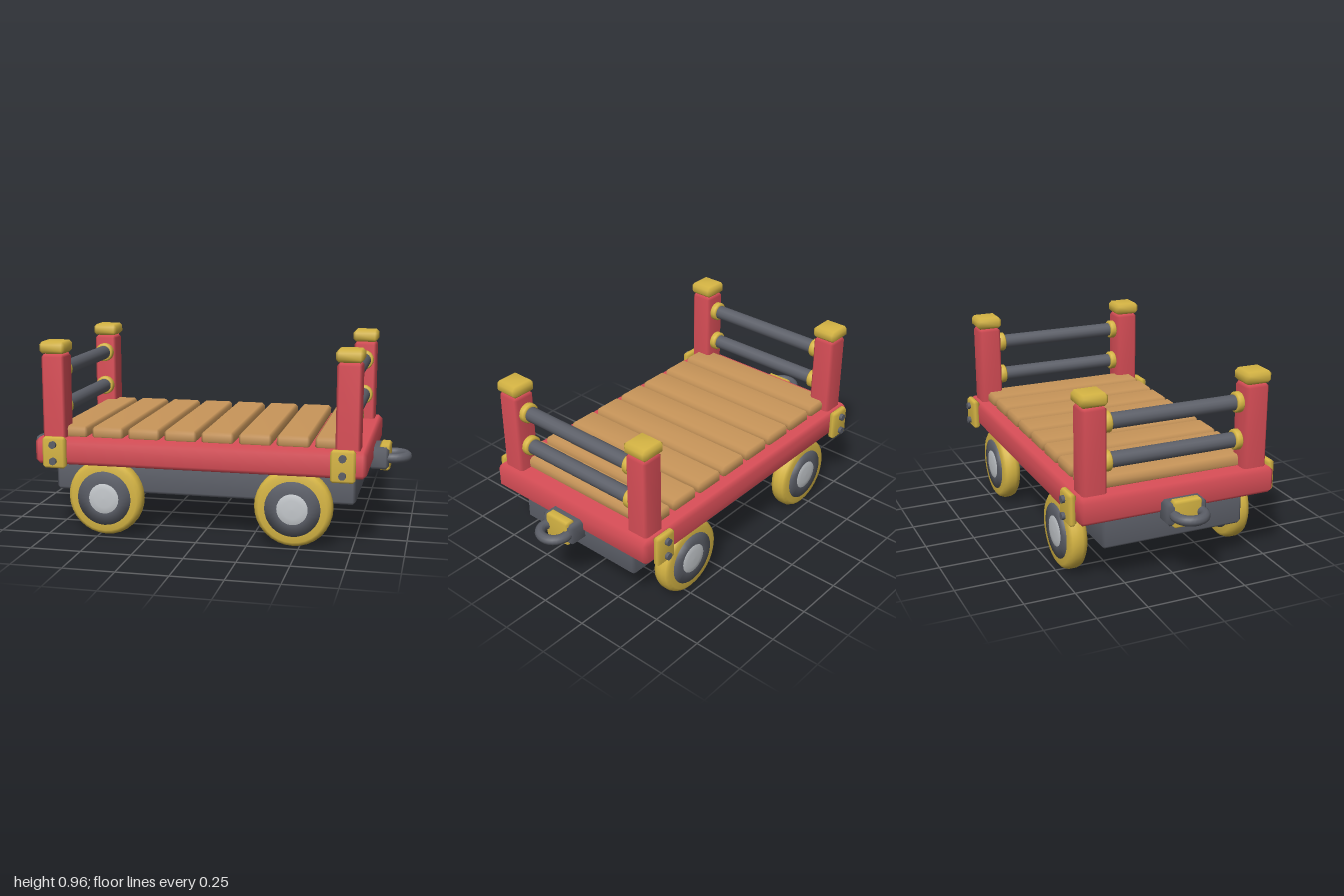
import * as THREE from 'three';
import { mergeVertices } from 'three/addons/utils/BufferGeometryUtils.js';
import { ConvexGeometry } from 'three/addons/geometries/ConvexGeometry.js';

const mat = (name, color) => {
  const m = new THREE.MeshStandardMaterial({ color });
  m.name = name;
  return m;
};

// Box with chamfered edges and soft, area-weighted normals
function chamferBox(w, h, d, c) {
  const pts = [];
  for (const sx of [-1, 1]) for (const sy of [-1, 1]) for (const sz of [-1, 1]) {
    const x = w / 2, y = h / 2, z = d / 2;
    pts.push(
      new THREE.Vector3(sx * x, sy * (y - c), sz * (z - c)),
      new THREE.Vector3(sx * (x - c), sy * y, sz * (z - c)),
      new THREE.Vector3(sx * (x - c), sy * (y - c), sz * z));
  }
  const g = new ConvexGeometry(pts);
  g.deleteAttribute('normal');
  const smooth = mergeVertices(g, 1e-5);
  smooth.computeVertexNormals();
  return smooth;
}

// Turned part whose axis runs along z; every profile segment keeps its own normals
function turned(profile, sides) {
  const pts = profile.map(([r, y]) => new THREE.Vector2(r, y));
  return new THREE.LatheGeometry(pts, sides).rotateX(Math.PI / 2);
}

export function createModel() {
  const model = new THREE.Group();
  model.name = 'flatWagon';
  const red = mat('red paint', 0xdb4f58);
  const brass = mat('brass', 0xd6b544);
  const iron = mat('dark iron', 0x5c5f68);
  const wood = mat('wood', 0xc9965a);
  const steel = mat('light steel', 0xc4c8cc);

  const add = (name, geo, material, x = 0, y = 0, z = 0, parent = model) => {
    const m = new THREE.Mesh(geo, material);
    m.name = name;
    m.position.set(x, y, z);
    parent.add(m);
    return m;
  };

  // Body
  add('deckFrame', chamferBox(1.63, 0.13, 1.0, 0.02), red, 0, 0.42, 0);
  add('chassis', chamferBox(1.51, 0.15, 0.73, 0.015), iron, 0, 0.27, 0);
  const plank = chamferBox(0.16, 0.06, 0.87, 0.013);
  for (let i = 0; i < 8; i++) add('plank', plank, wood, (i - 3.5) * 0.184, 0.508, 0);

  // Shared shapes
  const post = chamferBox(0.117, 0.44, 0.12, 0.013);
  const cap = chamferBox(0.13, 0.06, 0.135, 0.015);
  const bracket = chamferBox(0.118, 0.155, 0.04, 0.012);
  const bolt = new THREE.CylinderGeometry(0.018, 0.018, 0.03, 12).rotateX(Math.PI / 2);
  const rail = new THREE.CylinderGeometry(0.037, 0.037, 0.72, 16).rotateX(Math.PI / 2);
  const axle = new THREE.CylinderGeometry(0.055, 0.055, 0.8, 16).rotateX(Math.PI / 2);
  const collar = turned([[0.036, -0.02], [0.044, -0.02], [0.05, -0.014], [0.05, 0.01], [0.044, 0.016], [0.036, 0.016]], 16);
  const rim = turned([[0.12, -0.046], [0.165, -0.046], [0.182, -0.034], [0.19, -0.015],
    [0.19, 0.015], [0.182, 0.034], [0.165, 0.046], [0.12, 0.046]], 32);
  const disc = turned([[0, -0.054], [0.075, -0.054], [0.135, -0.048], [0.135, 0.048], [0.078, 0.054], [0, 0.054]], 32);
  const hub = turned([[0.077, 0.05], [0.075, 0.055], [0.045, 0.059], [0, 0.06]], 24);

  for (const sx of [-1, 1]) {
    // End rails and axle
    for (const y of [0.62, 0.805]) {
      add('endRail', rail, iron, sx * 0.72, y, 0);
      for (const sz of [-1, 1]) {
        const c = add('railCollar', collar, brass, sx * 0.72, y, sz * 0.336);
        if (sz < 0) c.rotation.y = Math.PI;
      }
    }
    add('axle', axle, iron, sx * 0.467, 0.2, 0);

    for (const sz of [-1, 1]) {
      // Corner post and bolted bracket
      add('post', post, red, sx * 0.722, 0.675, sz * 0.411);
      add('postCap', cap, brass, sx * 0.722, 0.928, sz * 0.412);
      add('cornerBracket', bracket, brass, sx * 0.706, 0.42, sz * 0.512);
      for (const y of [0.38, 0.462]) add('bolt', bolt, iron, sx * 0.706, y, sz * 0.533);

      // Wheel
      const wheel = new THREE.Group();
      wheel.name = 'wheel';
      wheel.position.set(sx * 0.467, 0.192, sz * 0.434);
      if (sz < 0) wheel.rotation.y = Math.PI;
      add('wheelRim', rim, brass, 0, 0, 0, wheel);
      add('wheelDisc', disc, iron, 0, 0, 0, wheel);
      add('wheelHub', hub, steel, 0, 0, 0, wheel);
      model.add(wheel);
    }

    // Coupling: block, brass band and ring
    add('couplingBlock', chamferBox(0.1, 0.11, 0.2, 0.015), iron, sx * 0.84, 0.37, 0);
    add('couplingBand', chamferBox(0.055, 0.13, 0.145, 0.01), brass, sx * 0.868, 0.37, 0);
    add('couplingRing', new THREE.TorusGeometry(0.07, 0.025, 10, 28).rotateX(Math.PI / 2), iron, sx * 0.905, 0.37, 0);
  }
  return model;
}
